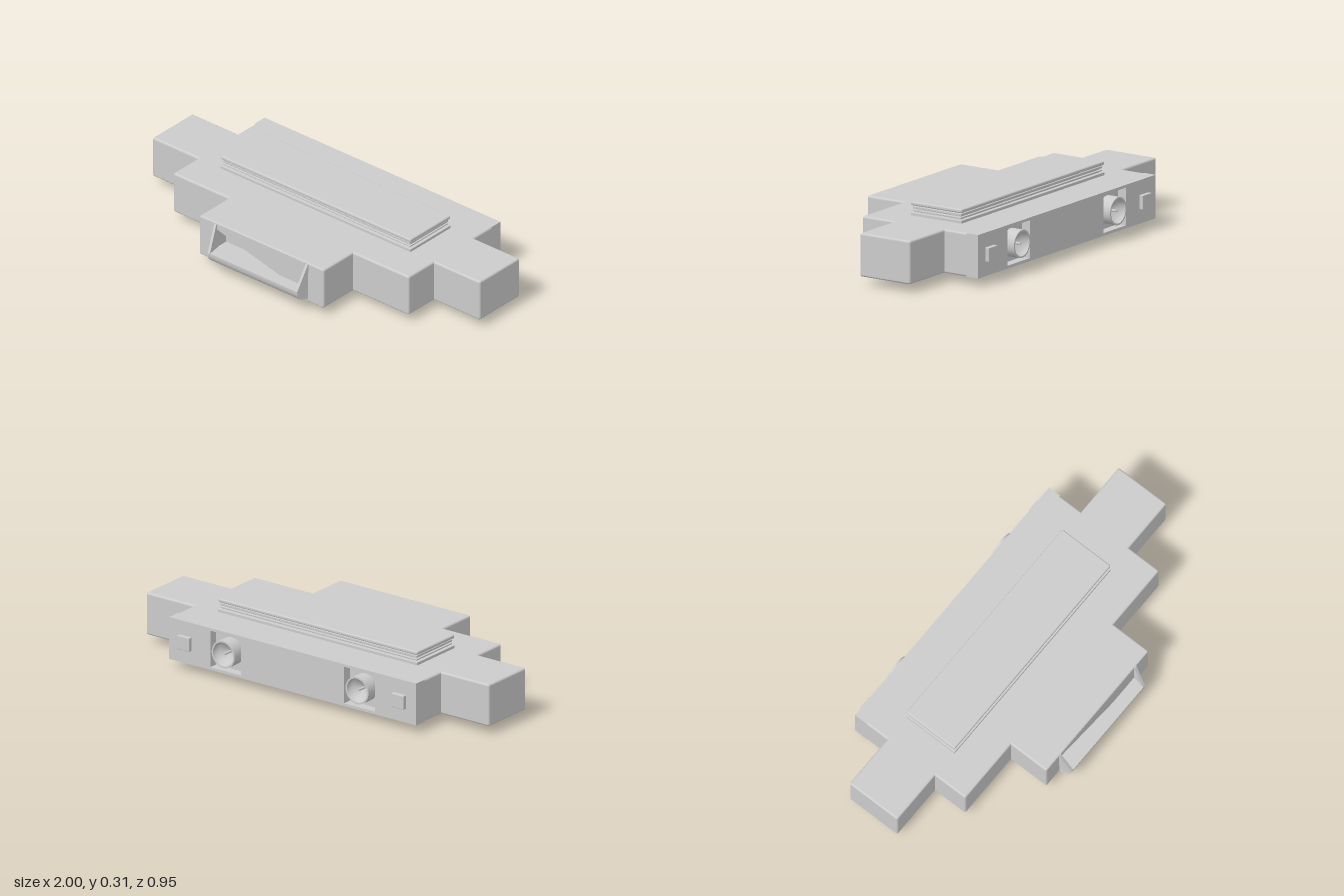
import * as THREE from 'three';
import { RoundedBoxGeometry } from 'three/addons/geometries/RoundedBoxGeometry.js';

const Y0 = 0.04, Y1 = 0.248; // underside and top of the main body

export function createModel() {
  const model = new THREE.Group();
  const grey = new THREE.MeshStandardMaterial({ color: 0xcccccc });

  const add = (name, geometry, parent = model) => {
    const mesh = new THREE.Mesh(geometry, grey);
    mesh.name = name;
    parent.add(mesh);
    return mesh;
  };

  // Rounded block given by its limits on each axis
  const block = (name, x0, x1, y0, y1, z0, z1, r, parent) => {
    const g = new RoundedBoxGeometry(x1 - x0, y1 - y0, z1 - z0, 3, r);
    g.translate((x0 + x1) / 2, (y0 + y1) / 2, (z0 + z1) / 2);
    return add(name, g, parent);
  };

  const rect = (x0, x1, y0, y1, Type = THREE.Shape) =>
    new Type([[x0, y0], [x1, y0], [x1, y1], [x0, y1]].map(p => new THREE.Vector2(...p)));

  const roundRect = (w, y0, y1, r) => {
    const s = new THREE.Shape();
    s.moveTo(-w + r, y0);
    s.lineTo(w - r, y0);
    s.absarc(w - r, y0 + r, r, -Math.PI / 2, 0);
    s.absarc(w - r, y1 - r, r, 0, Math.PI / 2);
    s.absarc(-w + r, y1 - r, r, Math.PI / 2, Math.PI);
    s.absarc(-w + r, y0 + r, r, Math.PI, Math.PI * 1.5);
    return s;
  };

  // Stepped body
  block('wings', -1, 1, Y0, Y1, -0.265, 0.02, 0.01);
  block('middleBody', -0.72, 0.72, Y0, Y1, -0.41, 0.2, 0.01);
  block('frontBody', -0.38, 0.38, Y0, Y1, 0.1, 0.34, 0.01);

  // Back panel with a square recess for each connector
  const panel = rect(-0.72, 0.72, Y0, Y1);
  for (const s of [-1, 1]) {
    panel.holes.push(rect(s * 0.39 - 0.09, s * 0.39 + 0.09, 0.054, 0.235, THREE.Path));
  }
  const panelGeo = new THREE.ExtrudeGeometry(panel, { depth: 0.065, bevelEnabled: false });
  add('backPanel', panelGeo.translate(0, 0, -0.455));

  // Front frame around the tray opening
  const frame = roundRect(0.38, Y0, Y1, 0.01);
  frame.holes.push(rect(-0.275, 0.275, 0.115, 0.236, THREE.Path));
  const frameGeo = new THREE.ExtrudeGeometry(frame, {
    depth: 0.094, bevelThickness: 0.008, bevelSize: 0.008, bevelOffset: -0.008, bevelSegments: 3, curveSegments: 4,
  });
  add('frontFrame', frameGeo.translate(0, 0, 0.308));

  // Tray lip and cheeks: side profiles (z, y) extruded along x, narrowing forward
  const sideExtrude = (draw, x0, x1) => {
    const shape = new THREE.Shape();
    draw(shape);
    const g = new THREE.ExtrudeGeometry(shape, { depth: x1 - x0, bevelEnabled: false, curveSegments: 10 });
    g.rotateY(-Math.PI / 2).translate(x1, 0, 0);
    const p = g.attributes.position;
    for (let i = 0; i < p.count; i++) {
      p.setX(i, p.getX(i) * (1 - 0.75 * Math.max(0, p.getZ(i) - 0.41)));
    }
    g.computeVertexNormals();
    return g;
  };
  const tray = new THREE.Group();
  tray.name = 'frontTray';
  model.add(tray);
  add('trayLip', sideExtrude(s => {
    s.moveTo(0.39, 0.052);
    s.lineTo(0.42, 0.055);
    s.bezierCurveTo(0.455, 0.062, 0.474, 0.08, 0.474, 0.116);
    s.lineTo(0.39, 0.116);
  }, -0.287, 0.287), tray);
  const cheek = s => {
    s.moveTo(0.395, 0.11);
    s.lineTo(0.474, 0.116);
    s.lineTo(0.413, 0.242);
    s.lineTo(0.395, 0.242);
  };
  add('leftCheek', sideExtrude(cheek, 0.273, 0.287), tray);
  add('rightCheek', sideExtrude(cheek, -0.287, -0.273), tray);

  // Grooved pads: stacks of [y0, y1, inset, corner radius]
  const pad = (name, halfX, layers) => {
    const group = new THREE.Group();
    group.name = name;
    model.add(group);
    layers.forEach(([y0, y1, d, r], i) =>
      block(name + 'Layer' + (i + 1), -halfX + d, halfX - d, y0, y1, -0.264 + d, 0.024 - d, r, group));
  };
  pad('topPad', 0.58, [
    [0.24, 0.262, 0, 0.002], [0.25, 0.305, 0.018, 0.002],
    [0.268, 0.275, 0.008, 0.002], [0.281, 0.292, 0.008, 0.002], [0.296, 0.315, 0, 0.007],
  ]);
  pad('bottomPad', 0.29, [
    [0.027, 0.05, 0.003, 0.002], [0.008, 0.045, 0.018, 0.002],
    [0.017, 0.023, 0.008, 0.002], [0, 0.013, 0, 0.005],
  ]);

  // Back connectors and buttons
  const cup = [[0.067, 0], [0.067, 0.066], [0.067, 0.066], [0.059, 0.066], [0.059, 0.066], [0.052, 0.03], [0, 0.008]]
    .map(p => new THREE.Vector2(...p));
  for (const [side, s] of [['left', 1], ['right', -1]]) {
    const connector = new THREE.Group();
    connector.name = side + 'Connector';
    connector.position.set(s * 0.39, 0.143, -0.409);
    connector.rotation.x = -Math.PI / 2;
    model.add(connector);
    add('connectorCup', new THREE.LatheGeometry(cup, 40), connector);
    add('connectorPin', new THREE.CylinderGeometry(0.005, 0.007, 0.05, 12).translate(0, 0.033, 0), connector);
    block(side + 'Button', s * 0.625 - 0.036, s * 0.625 + 0.036, 0.109, 0.177, -0.475, -0.44, 0.003);
  }

  return model;
}
